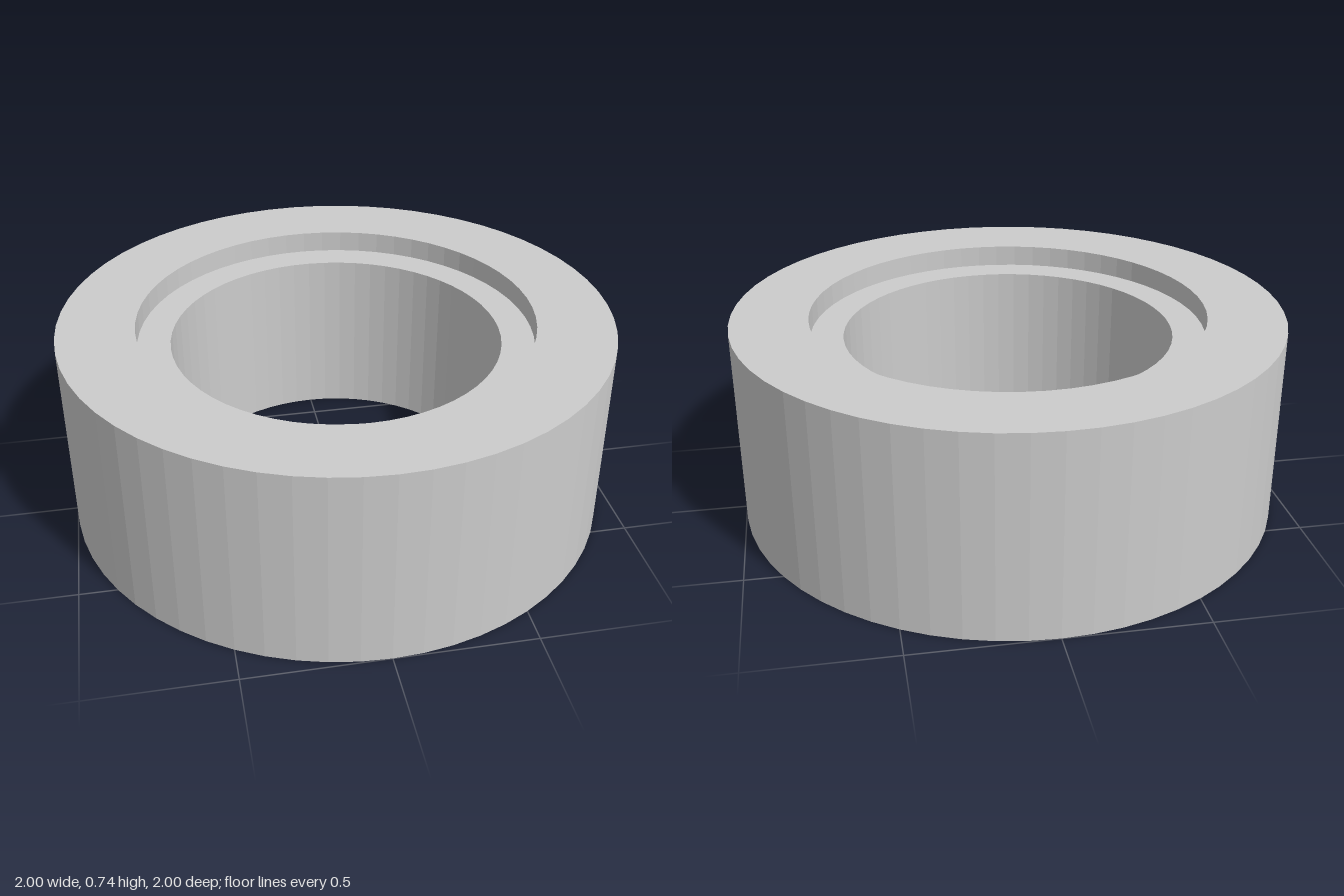
import * as THREE from 'three';

export function createModel() {
  const outer = 1, recess = 0.72, bore = 0.6;
  const height = 0.735, ledge = 0.655, sides = 60;

  // Closed cross-section: underside, outer wall, rim, recess wall, ledge, bore
  const profile = [
    [bore, 0], [outer, 0], [outer, height], [recess, height],
    [recess, ledge], [bore, ledge], [bore, 0],
  ].map(([r, y]) => new THREE.Vector2(r, y));

  const ring = new THREE.Mesh(
    new THREE.LatheGeometry(profile, sides),
    new THREE.MeshStandardMaterial({ color: 0xcccccc, flatShading: true })
  );
  ring.name = 'counterboredRing';

  const group = new THREE.Group();
  group.name = 'spacerRing';
  group.add(ring);
  return group;
}
